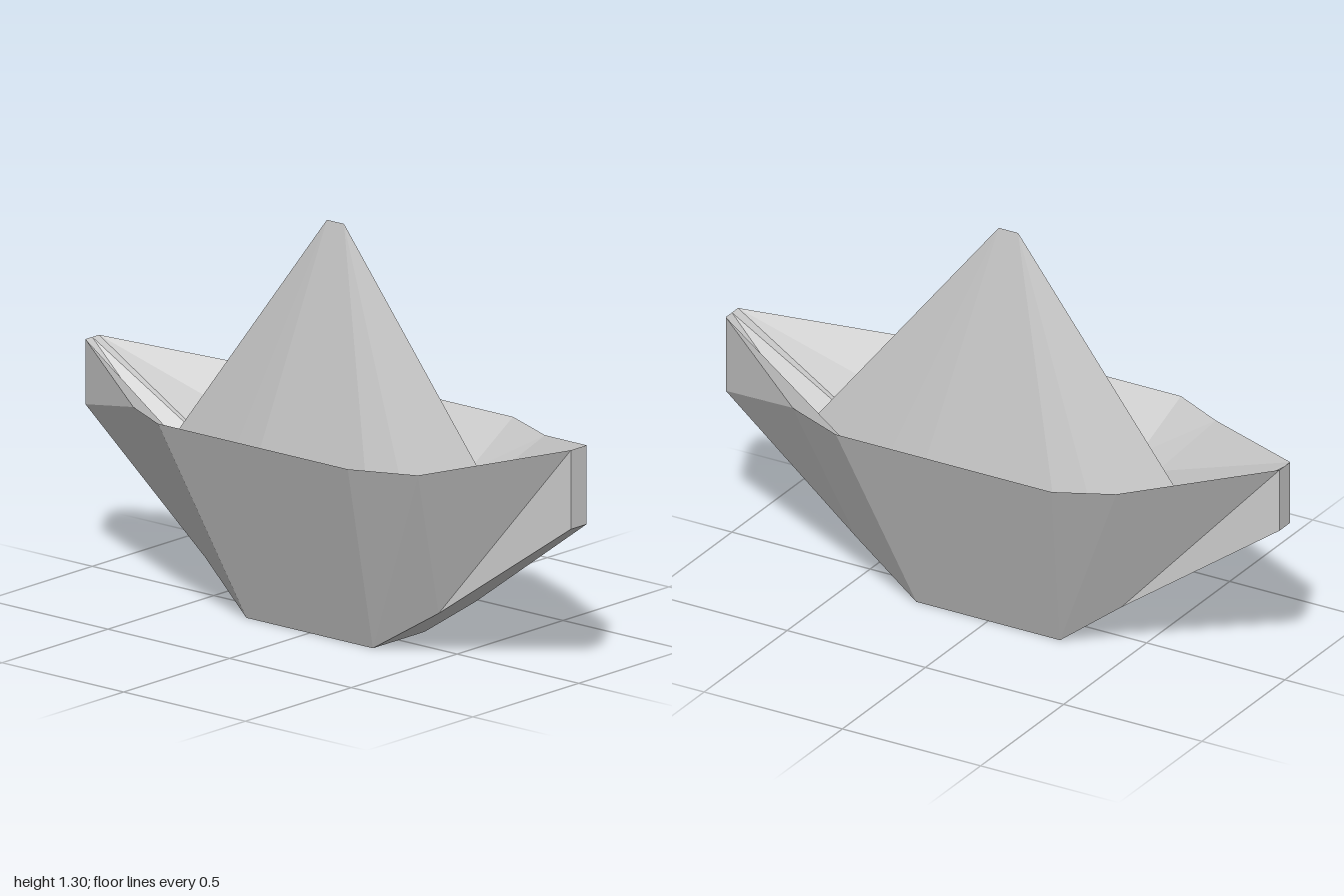
import * as THREE from 'three';

const material = new THREE.MeshStandardMaterial({ color: 0xcccccc, flatShading: true, side: THREE.DoubleSide });

const mirror = (p) => [-p[0], p[1], p[2]];

// Collects flat facets, skipping collapsed ones
function facets() {
  const positions = [];
  const tri = (a, b, c) => {
    const [u, v, w] = [a, b, c].map((p) => new THREE.Vector3(...p));
    if (new THREE.Triangle(u, v, w).getArea() > 1e-6) positions.push(...a, ...b, ...c);
  };
  const quad = (a, b, c, d) => { tri(a, b, c); tri(a, c, d); };
  // Strip between two fore-and-aft lines, repeated on the other side
  const sides = (low, high) => {
    for (let i = 0; i < low.length - 1; i++) {
      const q = [low[i], low[i + 1], high[i + 1], high[i]];
      quad(...q);
      quad(...q.map(mirror).reverse());
    }
  };
  const mesh = (name) => {
    const geometry = new THREE.BufferGeometry();
    geometry.setAttribute('position', new THREE.Float32BufferAttribute(positions, 3));
    geometry.computeVertexNormals();
    const m = new THREE.Mesh(geometry, material);
    m.name = name;
    return m;
  };
  return { quad, sides, mesh };
}

// Fore-and-aft lines of the left side, listed from bow to stern
const bowTip = [0.037, 0.76, 1], sternTip = [0.032, 0.74, -1];
const keel = [[0.037, 0.505, 1], [0.087, 0.15, 0.5], [0.122, 0, 0.26],
  [0.122, 0, -0.26], [0.087, 0.15, -0.46], [0.032, 0.53, -1]];
const rim = [bowTip, [0.3, 0.66, 0.6], [0.39, 0.66, 0.39],
  [0.39, 0.66, -0.39], [0.3, 0.66, -0.57], sternTip];
const fold = [bowTip, [0.18, 0.5, 0.45], [0.26, 0.5, 0.32],
  [0.26, 0.5, -0.32], [0.18, 0.5, -0.43], sternTip];
const trough = [bowTip, [0.11, 0.33, 0.43], [0.128, 0.41, 0.25],
  [0.128, 0.41, -0.25], [0.11, 0.33, -0.41], sternTip];
const sailBase = [[0, 0.45, 0.72], ...trough.slice(1, 5), [0, 0.45, -0.69]];

export function createModel() {
  const model = new THREE.Group();
  model.name = 'foldedBoat';

  // Outer walls, flat bottom and blunt ends
  const hull = facets();
  hull.sides(keel, rim);
  for (let i = 0; i < keel.length - 1; i++) {
    hull.quad(mirror(keel[i]), mirror(keel[i + 1]), keel[i + 1], keel[i]);
  }
  hull.quad(mirror(keel[0]), keel[0], rim[0], mirror(rim[0]));
  hull.quad(keel[5], mirror(keel[5]), mirror(rim[5]), rim[5]);
  model.add(hull.mesh('hull'));

  // Inner walls folding down to the foot of the sail, with a groove at each end
  const basin = facets();
  basin.sides(rim, fold);
  basin.sides(fold, trough);
  const bowGroove = [[0, 0.76, 1], sailBase[0]];
  const sternGroove = [sailBase[5], [0, 0.74, -1]];
  basin.sides(trough.slice(0, 2), bowGroove);
  basin.sides(trough.slice(4), sternGroove);
  model.add(basin.mesh('innerFolds'));

  // Peaked sail with a short ridge
  const sail = facets();
  sail.sides(sailBase, sailBase.map((p, i) => [0, 1.3, i < 3 ? 0.035 : -0.035]));
  model.add(sail.mesh('sail'));

  return model;
}
